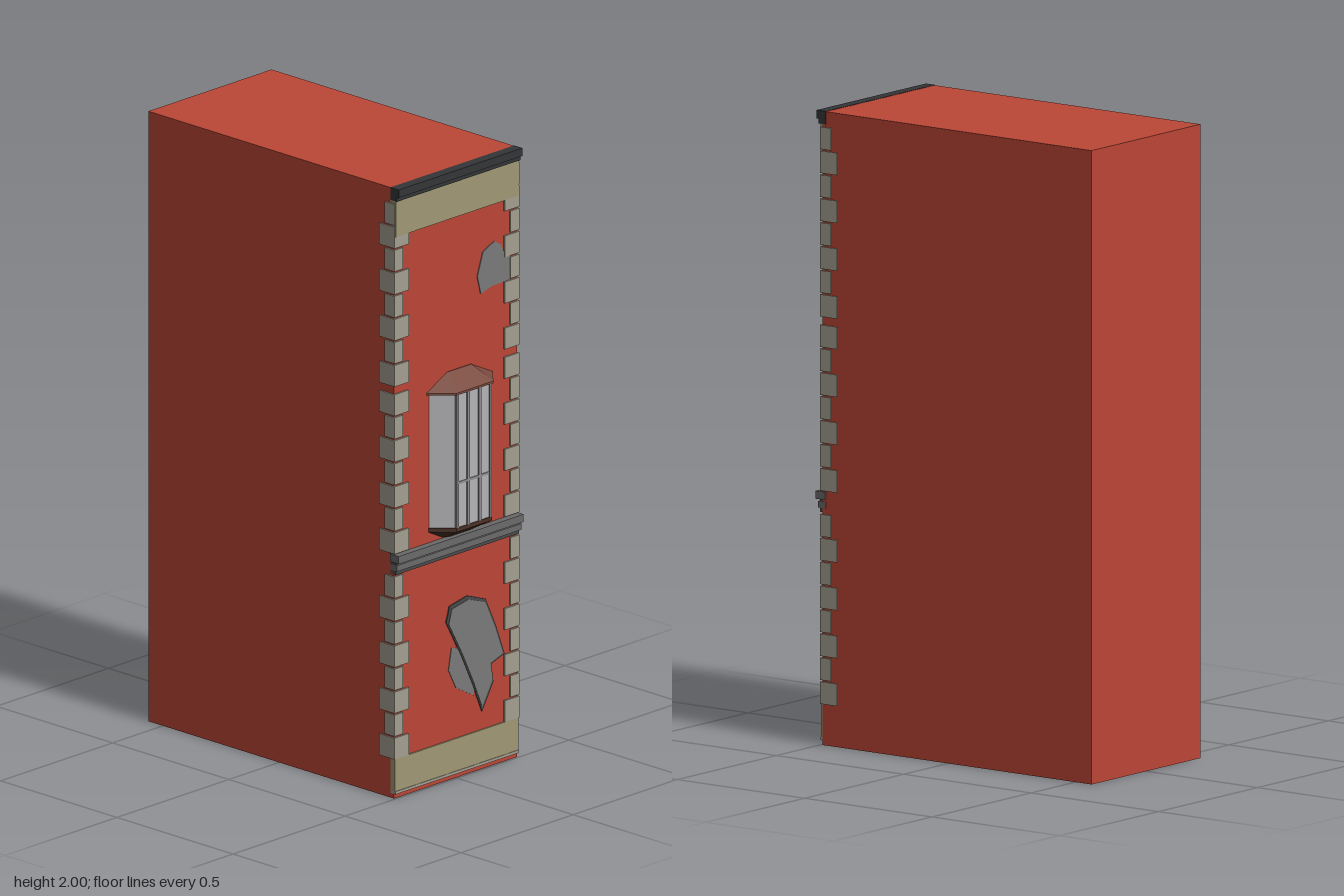
import * as THREE from 'three';

const mat = (color, side = THREE.FrontSide) =>
  new THREE.MeshStandardMaterial({ color, flatShading: true, side });

const brick = mat(0xbb4636), stone = mat(0xa39f90), cream = mat(0xa09874);
const ledgeGrey = mat(0x6a6a6a), slate = mat(0x333537), patchGrey = mat(0x7a7a7a);
const rimGrey = mat(0x4a4a4a), glass = mat(0xb4b4b6), frame = mat(0x8e8e90);
const roofBrown = mat(0x7a4a3e), baseBrown = mat(0x4a3026);

const FRONT = 0.494; // z of the facade

// Box given by its minimum and maximum corners
function box(parent, name, material, x0, x1, y0, y1, z0, z1) {
  const m = new THREE.Mesh(new THREE.BoxGeometry(x1 - x0, y1 - y0, z1 - z0), material);
  m.position.set((x0 + x1) / 2, (y0 + y1) / 2, (z0 + z1) / 2);
  m.name = name;
  parent.add(m);
  return m;
}

// Thin plate with a polygon outline, lying on the facade
function plate(parent, name, material, points, z, scale = 1) {
  const c = points.reduce((s, p) => [s[0] + p[0] / points.length, s[1] + p[1] / points.length], [0, 0]);
  const shape = new THREE.Shape(points.map(([x, y]) =>
    new THREE.Vector2(c[0] + (x - c[0]) * scale, c[1] + (y - c[1]) * scale)));
  const m = new THREE.Mesh(
    new THREE.ExtrudeGeometry(shape, { depth: z - FRONT + 0.004, bevelEnabled: false }), material);
  m.position.z = FRONT - 0.004;
  m.name = name;
  parent.add(m);
}

// Solid between horizontal sections; each is [y, back half width, front half width, front z]
function bayLoft(parent, name, material, sections) {
  const pos = [], index = [];
  for (const [y, wb, wf, zf] of sections)
    pos.push(-wb, y, FRONT - 0.005, -wf, y, zf, wf, y, zf, wb, y, FRONT - 0.005);
  for (let s = 0; s < sections.length - 1; s++)
    for (let i = 0; i < 3; i++) {
      const a = s * 4 + i, b = a + 1, c = a + 4, d = a + 5;
      index.push(a, b, d, a, d, c);
    }
  const t = (sections.length - 1) * 4;
  index.push(0, 2, 1, 0, 3, 2, t, t + 1, t + 2, t, t + 2, t + 3);
  const g = new THREE.BufferGeometry();
  g.setAttribute('position', new THREE.Float32BufferAttribute(pos, 3));
  g.setIndex(index);
  const flat = g.toNonIndexed();
  flat.computeVertexNormals();
  const m = new THREE.Mesh(flat, material);
  m.name = name;
  parent.add(m);
}

// Corner stones, alternating long and short around each corner
function makeQuoins() {
  const group = new THREE.Group();
  group.name = 'quoins';
  const runs = [[0.13, 8], [0.803, 7], [1.352, 8]];
  for (const side of [-1, 1])
    for (const [start, count] of runs)
      for (let i = 0; i < count; i++) {
        const y0 = start + i * 0.0755, long = i % 2 === 0;
        const inner = long ? 0.215 : 0.24, depth = long ? 0.06 : 0.036;
        const xs = [side * inner, side * 0.279].sort((a, b) => a - b);
        box(group, 'quoin', stone, xs[0], xs[1], y0, y0 + 0.07, FRONT - depth, 0.5);
      }
  return group;
}

// Three sided bay window with roof, mullions and tapered base
function makeBay() {
  const bay = new THREE.Group();
  bay.name = 'bayWindow';
  bayLoft(bay, 'bayBase', baseBrown, [[0.8, 0.075, 0.045, 0.5], [0.835, 0.143, 0.08, 0.558], [0.848, 0.143, 0.08, 0.558]]);
  bayLoft(bay, 'bayWalls', glass, [[0.848, 0.14, 0.076, 0.555], [1.285, 0.14, 0.076, 0.555]]);
  bayLoft(bay, 'bayRoof', roofBrown, [[1.285, 0.152, 0.083, 0.561], [1.292, 0.152, 0.083, 0.561], [1.34, 0.055, 0.052, 0.497]]);
  for (const x of [-0.074, -0.026, 0.026, 0.074])
    box(bay, 'mullion', frame, x - 0.005, x + 0.005, 0.848, 1.285, 0.545, 0.559);
  box(bay, 'transom', frame, -0.076, 0.076, 0.99, 0.998, 0.545, 0.558);
  bay.position.x = 0.017;
  return bay;
}

export function createModel() {
  const model = new THREE.Group();
  model.name = 'townHouse';

  box(model, 'building', brick, -0.275, 0.275, 0, 2, -0.563, FRONT);

  // Horizontal bands, string course and cornice
  box(model, 'plinthBand', cream, -0.275, 0.275, 0.022, 0.13, 0.48, 0.499);
  box(model, 'plinthEdge', stone, -0.275, 0.275, 0.015, 0.024, 0.48, 0.501);
  box(model, 'friezeBand', cream, -0.275, 0.275, 1.842, 1.963, 0.48, 0.502);
  box(model, 'ledgeTop', ledgeGrey, -0.279, 0.279, 0.775, 0.8, 0.48, 0.518);
  box(model, 'ledgeMiddle', ledgeGrey, -0.277, 0.277, 0.748, 0.768, 0.48, 0.51);
  box(model, 'ledgeCore', rimGrey, -0.275, 0.275, 0.735, 0.776, 0.48, 0.503);
  box(model, 'corniceTop', slate, -0.276, 0.276, 1.975, 2.001, 0.48, 0.516);
  box(model, 'corniceLower', slate, -0.276, 0.276, 1.96, 1.976, 0.48, 0.508);

  model.add(makeQuoins(), makeBay());

  // Irregular grey patches on the wall
  const lower = [[-0.045, 0.52], [-0.03, 0.57], [0.05, 0.585], [0.13, 0.555], [0.175, 0.46], [0.215, 0.355],
    [0.155, 0.335], [0.165, 0.275], [0.115, 0.19], [0.075, 0.285], [0.02, 0.4]];
  plate(model, 'smallPatch', patchGrey,
    [[-0.02, 0.43], [-0.033, 0.36], [0, 0.295], [0.08, 0.25], [0.09, 0.35], [0.03, 0.42]], 0.496);
  plate(model, 'largePatchRim', rimGrey, lower, 0.498);
  plate(model, 'largePatch', patchGrey, lower, 0.4995, 0.93);
  plate(model, 'upperPatch', patchGrey,
    [[0.095, 1.62], [0.11, 1.56], [0.16, 1.573], [0.24, 1.575], [0.24, 1.668], [0.21, 1.675],
      [0.2, 1.7], [0.17, 1.717], [0.12, 1.695]], 0.497);

  return model;
}
